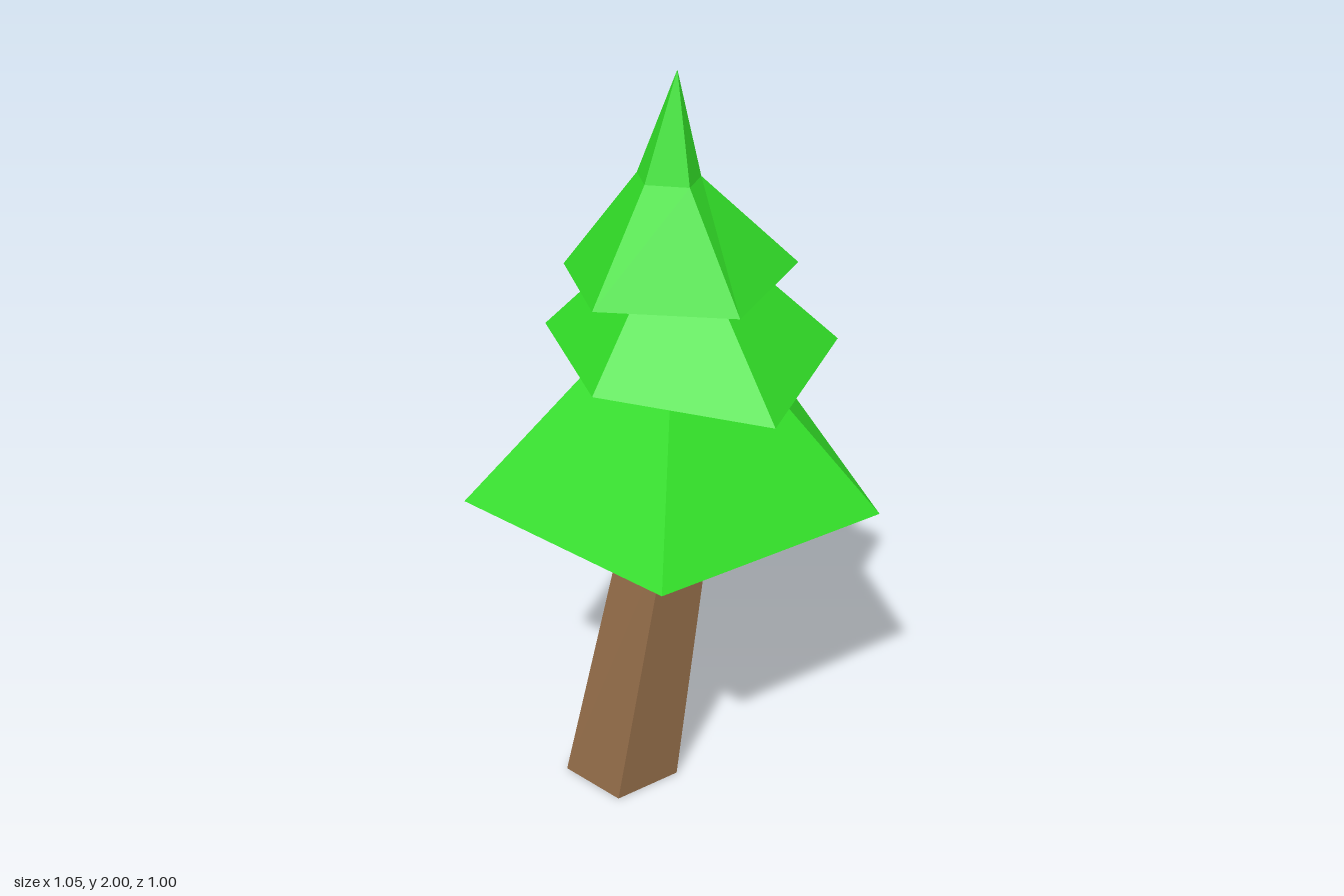
import * as THREE from 'three';

// Skin a stack of rings (listed clockwise from above); a one-point ring is a tip.
function loft(name, rings, material) {
  const pos = [];
  const tri = (...pts) => pts.forEach((p) => pos.push(...p));
  const base = rings[0];
  const n = base.length;
  const centre = [0, 1, 2].map((k) => base.reduce((sum, p) => sum + p[k], 0) / n);
  for (let i = 0; i < n; i++) {
    const j = (i + 1) % n;
    tri(centre, base[i], base[j]); // underside
    for (let r = 0; r + 1 < rings.length; r++) {
      const a = rings[r], b = rings[r + 1];
      tri(a[j], a[i], b[i % b.length]);
      if (b.length > 1) tri(a[j], b[i], b[j]);
    }
  }
  const geometry = new THREE.BufferGeometry();
  geometry.setAttribute('position', new THREE.Float32BufferAttribute(pos, 3));
  geometry.computeVertexNormals();
  const mesh = new THREE.Mesh(geometry, material);
  mesh.name = name;
  return mesh;
}

// Regular pentagon with one corner pointing to the back
function pentagon(x, y, z, radius) {
  return Array.from({ length: 5 }, (_, i) => {
    const a = (i / 5) * Math.PI * 2;
    return [x + Math.sin(a) * radius, y, z - Math.cos(a) * radius];
  });
}

export function createModel() {
  const leaves = new THREE.MeshStandardMaterial({ color: 0x31dc27 });
  leaves.name = 'leaf green';
  const bark = new THREE.MeshStandardMaterial({ color: 0x8d6845 });
  bark.name = 'bark brown';
  for (const m of [leaves, bark]) m.flatShading = true;

  const tree = new THREE.Group();
  tree.name = 'tree';

  // Leaning trunk that straightens under the foliage
  tree.add(loft('trunk', [
    pentagon(-0.157, 0, 0.03, 0.166),
    pentagon(0, 0.8, 0.03, 0.12),
    pentagon(0.003, 1.0, 0.03, 0.104),
    [[0.003, 1.0, 0.03]],
  ], bark));

  // Wide regular skirt
  tree.add(loft('lowerFoliage', [
    pentagon(0, 0.93, 0.053, 0.553),
    [[0, 1.49, 0.055]],
  ], leaves));

  // Uneven middle tier
  tree.add(loft('middleFoliage', [
    [[-0.197, 1.29, -0.26], [0.27, 1.287, -0.235], [0.39, 1.287, 0.218], [0, 1.265, 0.48], [-0.315, 1.305, 0.183]],
    [[0.005, 1.68, 0.06]],
  ], leaves));

  // Uneven top tier, narrowing to a steeper spire
  tree.add(loft('upperFoliage', [
    [[-0.172, 1.475, -0.195], [0.183, 1.495, -0.17], [0.3, 1.495, 0.155], [-0.015, 1.495, 0.35], [-0.28, 1.495, 0.132]],
    [[-0.06, 1.745, 0.022 - 0.044], [0.037, 1.745, -0.02], [0.045, 1.75, 0.096], [-0.03, 1.755, 0.16], [-0.1, 1.75, 0.076]],
    [[0, 2, 0.06]],
  ], leaves));

  return tree;
}
